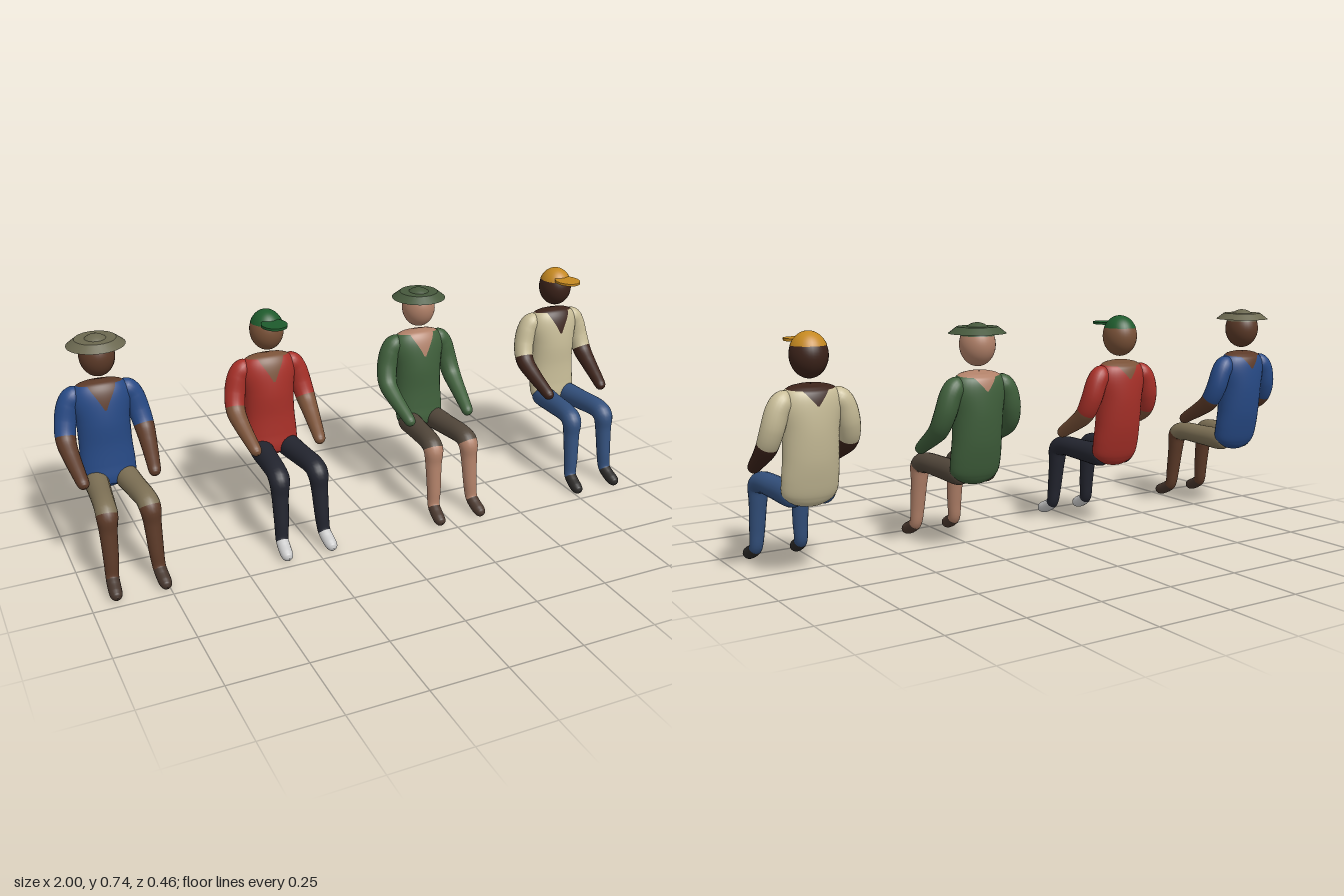
import * as THREE from 'three';
import { ParametricGeometry } from 'three/addons/geometries/ParametricGeometry.js';

// Rings as [x, y, z, rx, rz]; colour breaks are given as ring indices
const TORSO = [
  [0, 0.232, -0.10, 0.002, 0.002], [0, 0.242, -0.105, 0.06, 0.034], [0, 0.265, -0.11, 0.084, 0.046],
  [0, 0.31, -0.12, 0.088, 0.052], [0, 0.38, -0.13, 0.085, 0.059], [0, 0.46, -0.134, 0.086, 0.064],
  [0, 0.53, -0.138, 0.094, 0.059], [0, 0.57, -0.141, 0.082, 0.048], [0, 0.586, -0.143, 0.055, 0.03],
  [0, 0.591, -0.144, 0.002, 0.002],
];
const ARM = [
  [0.06, 0.557, -0.143, 0.015], [0.082, 0.548, -0.144, 0.032], [0.103, 0.52, -0.145, 0.035],
  [0.118, 0.465, -0.138, 0.035], [0.126, 0.412, -0.112, 0.032], [0.123, 0.378, -0.06, 0.027],
  [0.116, 0.345, 0.005, 0.022], [0.112, 0.328, 0.038, 0.019], [0.111, 0.323, 0.05, 0.012],
  [0.111, 0.321, 0.055, 0.001],
];
const LEG = [
  [0.046, 0.262, -0.125, 0.02], [0.048, 0.262, -0.1, 0.038], [0.056, 0.265, 0, 0.036],
  [0.064, 0.267, 0.09, 0.034], [0.067, 0.25, 0.127, 0.034], [0.069, 0.2, 0.134, 0.028],
  [0.071, 0.11, 0.145, 0.024], [0.074, 0.055, 0.152, 0.021], [0.076, 0.035, 0.175, 0.021],
  [0.078, 0.022, 0.205, 0.02], [0.078, 0.019, 0.222, 0.014], [0.078, 0.018, 0.229, 0.001],
];
const HEAD = new THREE.Vector3(0, 0.673, -0.136);
const HEAD_SIZE = new THREE.Vector3(0.056, 0.068, 0.061);

const PEOPLE = [
  { x: -0.84, skin: 0x5c3a28, shirt: 0x274a86, trousers: 0x7d7055, shoes: 0x45352c, hat: 0x6b6850, brim: true, shorts: true },
  { x: -0.28, skin: 0x7a5238, shirt: 0xa83028, trousers: 0x23252f, shoes: 0xc8c8c8, hat: 0x1e5a2c },
  { x: 0.28, skin: 0xb08068, shirt: 0x40603c, trousers: 0x51463a, shoes: 0x4a382e, hat: 0x46583c, brim: true, shorts: true, longSleeves: true },
  { x: 0.84, skin: 0x3c231a, shirt: 0xc8bd98, trousers: 0x33507c, shoes: 0x2c2a28, hat: 0xc48820 },
];

function addMesh(parent, name, geometry, color) {
  const mesh = new THREE.Mesh(geometry, new THREE.MeshStandardMaterial({ color, side: THREE.DoubleSide }));
  mesh.name = name;
  parent.add(mesh);
  return mesh;
}

// Smooth skin through the rings: returns a function of angle u (0..1) and ring index
function skinOf(rings, side = 1) {
  const path = new THREE.CatmullRomCurve3(rings.map(([x, y, z]) => new THREE.Vector3(x * side, y, z)), false, 'catmullrom');
  const size = new THREE.CatmullRomCurve3(rings.map(([, , , a, b = a]) => new THREE.Vector3(a, b, 0)), false, 'catmullrom');
  const last = rings.length - 1;
  return (u, index, target, grow = 0) => {
    const t = THREE.MathUtils.clamp(index / last, 0, 1);
    const r = size.getPoint(t);
    const along = path.getTangent(t);
    const across = new THREE.Vector3(1, 0, 0).addScaledVector(along, -along.x).normalize();
    const other = along.clone().cross(across);
    const a = u * Math.PI * 2;
    target.copy(path.getPoint(t))
      .addScaledVector(across, Math.cos(a) * (r.x + grow))
      .addScaledVector(other, Math.sin(a) * (r.y + grow));
  };
}

// One colour section of a skin, from one ring index to another
function section(skin, from, to, slices = 20) {
  const stacks = Math.max(4, Math.ceil((to - from) * 5));
  return new ParametricGeometry((u, v, p) => skin(u, from + v * (to - from), p), slices, stacks);
}

// Tapered neckline laid just over the torso, centred on angle u0
function neckline(skin, u0, from, to, width) {
  return new ParametricGeometry((u, v, p) =>
    skin(u0 + (u - 0.5) * 2 * width * (0.05 + 0.95 * v), from + v * (to - from), p, 0.0012), 10, 12);
}

function makeTorso(person, c) {
  const skin = skinOf(TORSO);
  addMesh(person, 'shirt', section(skin, 0, 7.4, 32), c.shirt);
  addMesh(person, 'neckBase', section(skin, 7.4, 9, 32), c.skin);
  addMesh(person, 'frontNeckline', neckline(skin, 0.75, 5.6, 7.6, 0.11), c.skin);
  addMesh(person, 'backNeckline', neckline(skin, 0.25, 6.1, 7.6, 0.1), c.skin);
}

function makeLimbs(person, c) {
  for (const [side, label] of [[1, 'left'], [-1, 'right']]) {
    const arm = skinOf(ARM, side);
    const cuff = c.longSleeves ? 6.9 : 3.8;
    addMesh(person, label + 'Sleeve', section(arm, 0, cuff), c.shirt);
    addMesh(person, label + 'Forearm', section(arm, cuff, 9), c.longSleeves ? c.shirt : c.skin);

    const leg = skinOf(LEG, side);
    const hem = c.shorts ? 3.9 : 7.3;
    addMesh(person, label + 'TrouserLeg', section(leg, 0, hem), c.trousers);
    if (c.shorts) addMesh(person, label + 'Shin', section(leg, hem, 7.3), c.skin);
    addMesh(person, label + 'Shoe', section(leg, 7.3, 11), c.shoes);
  }
}

function makeHead(person, c) {
  const head = addMesh(person, 'head', new THREE.SphereGeometry(1, 32, 24), c.skin);
  head.position.copy(HEAD);
  head.scale.copy(HEAD_SIZE);

  // Crown of the hat hugs the top of the head
  const crown = addMesh(person, 'hatCrown', new THREE.SphereGeometry(1.015, 32, 12, 0, Math.PI * 2, 0, 1.16), c.hat);
  crown.position.copy(HEAD);
  crown.scale.copy(HEAD_SIZE);

  if (c.brim) {
    const brim = addMesh(person, 'hatBrim', new THREE.CylinderGeometry(0.065, 0.092, 0.021, 32), c.hat);
    brim.position.set(0, 0.7185, HEAD.z);
  } else {
    const visor = addMesh(person, 'capVisor', new THREE.CylinderGeometry(1, 1, 0.008, 32), c.hat);
    visor.position.set(0, 0.712, -0.06);
    visor.scale.set(0.042, 1, 0.05);
  }
}

export function createModel() {
  const model = new THREE.Group();
  model.name = 'seatedPeople';
  PEOPLE.forEach((c, i) => {
    const person = new THREE.Group();
    person.name = 'seatedPerson' + (i + 1);
    person.position.x = c.x;
    makeTorso(person, c);
    makeLimbs(person, c);
    makeHead(person, c);
    model.add(person);
  });
  return model;
}
